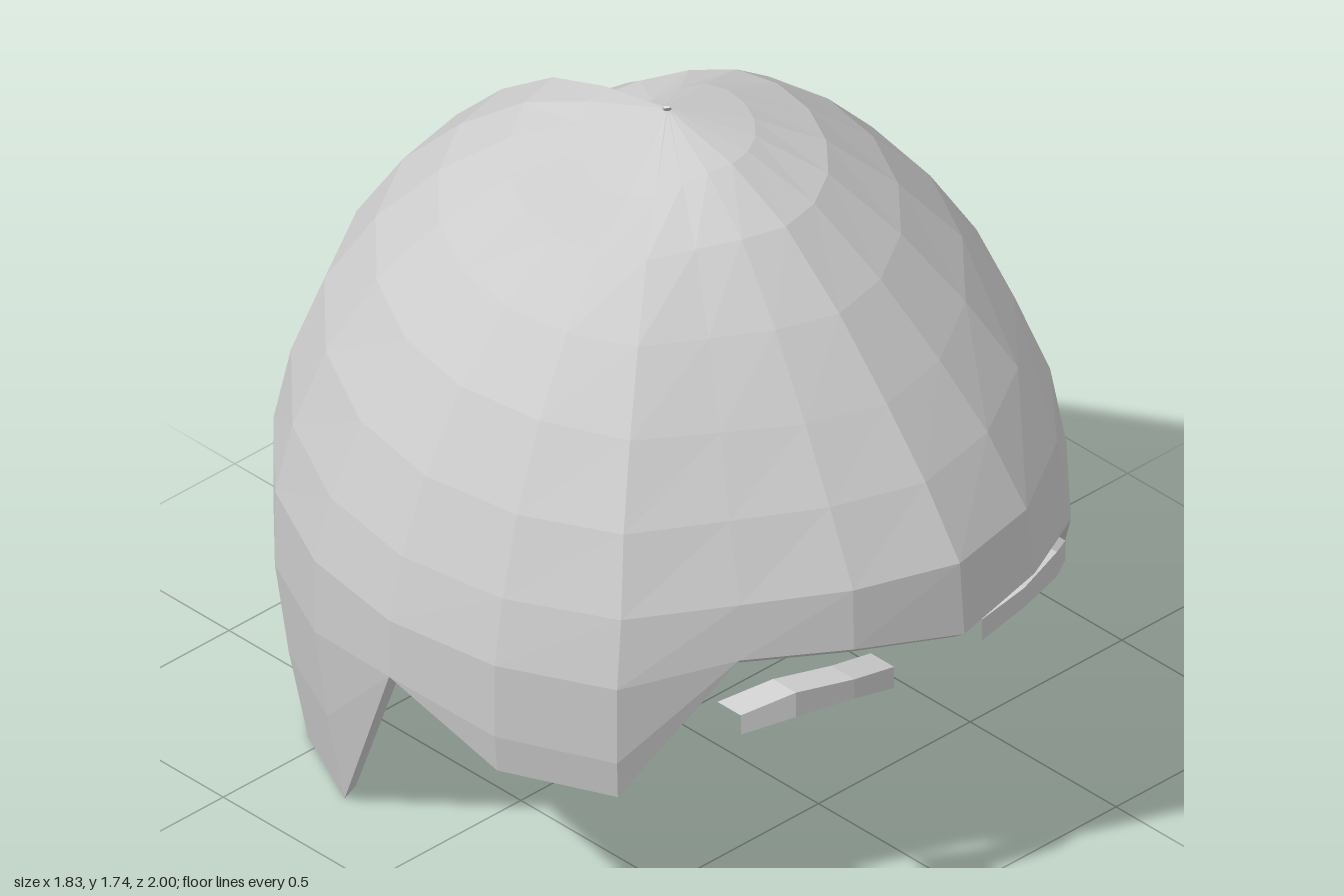
import * as THREE from 'three';

const SIDES = 20;
// Dome profile from hem to crown: radius factor and height per row
const R = [0.915, 0.965, 1, 1, 0.955, 0.87, 0.74, 0.58, 0.4, 0.22, 0.012];
const Y = [0, 0.25, 0.5, 0.73, 0.955, 1.18, 1.37, 1.52, 1.64, 1.7, 1.74];
// How far each row sinks on the combed side and over the forehead
const SIDE_DENT = [0, 0, 0, 0.03, 0.09, 0.12, 0.11, 0.1, 0.1, 0.1, 0];
const FRONT_DENT = [0, 0, 0, 0, 0.03, 0.08, 0.11, 0.08, 0.04, 0.01, 0];
// Left of the parting the back sinks towards the parting, by column
const BACK_DENT = { 6: 0.1, 7: 0.4, 8: 0.75, 9: 1.05, 10: 1.2 };
// Hem height per column, counted from the front centre
const HEM_LEFT = [0.73, 0.75, 0.71, 0.395, 0.395, 0.545];
const HEM_RIGHT = [0.73, 0.77, 0.78, 0.395, 0.395, 0.545];

const sample = (list, s) => {
  const i = Math.min(Math.floor(s), list.length - 2);
  return THREE.MathUtils.lerp(list[i], list[i + 1], s - i);
};

// Row position at which the profile reaches height y
function rowAt(y) {
  let i = 0;
  while (Y[i + 1] < y) i++;
  return i + (y - Y[i]) / (Y[i + 1] - Y[i]);
}

// Non-indexed flat faces from quads, dropping collapsed triangles
function flatMesh(name, quads, side = THREE.FrontSide) {
  const pos = [];
  const tri = (a, b, c) => {
    const area = b.clone().sub(a).cross(c.clone().sub(a)).length();
    if (area > 1e-7) for (const p of [a, b, c]) pos.push(p.x, p.y, p.z);
  };
  for (const [a, b, c, d] of quads) {
    tri(a, b, c);
    tri(a, c, d);
  }
  const geo = new THREE.BufferGeometry();
  geo.setAttribute('position', new THREE.Float32BufferAttribute(pos, 3));
  geo.computeVertexNormals();
  const mesh = new THREE.Mesh(geo, new THREE.MeshStandardMaterial({ color: 0xcccccc, flatShading: true, side }));
  mesh.name = name;
  return mesh;
}

// One strand column of the hair: points from hem to crown
function hairColumn(j) {
  const k = j - SIDES / 2;
  const theta = (k / SIDES) * Math.PI * 2;
  const sin = Math.sin(theta), cos = Math.cos(theta);
  const hem = (k < 0 ? HEM_RIGHT : HEM_LEFT)[Math.abs(k)] ?? 0;
  const start = rowAt(hem);
  const flatten = { '-1': 0.95, '-2': 0.93 }[k] ?? 1;
  const side = k < 0 ? sin * sin : BACK_DENT[k] ?? 0;
  const front = Math.max(0, cos) ** 2;
  return Y.map((_, i) => {
    const s = Math.max(i, start);
    const r = sample(R, s) * flatten;
    const dent = side * sample(SIDE_DENT, s) + front * sample(FRONT_DENT, s);
    const bulge = front * 0.03 * Math.max(0, 1 - Math.abs(s - 4));
    return new THREE.Vector3(
      sin * 0.915 * r,
      sample(Y, s) - dent,
      cos * (cos > 0 ? 1.02 : 0.975) * (r + bulge) - 0.02
    );
  });
}

// Thick hair shell whose right half overlaps the left along a parting at the back
function hair() {
  const outer = Array.from({ length: SIDES + 1 }, (_, j) => hairColumn(j));
  const inner = outer.map(col => col.map(p =>
    new THREE.Vector3(p.x * 0.965, 0.03 + p.y * 0.925, p.z * 0.965)));
  // Undercut the overlapping edge above the hem
  inner[0].forEach((p, i) => { p.x -= 0.14 * Math.max(0, (i - 3) / 7) * R[i]; });
  const quads = [];
  const rows = Y.length - 1;
  for (let j = 0; j < SIDES; j++) {
    const [o, o2, n, n2] = [outer[j], outer[j + 1], inner[j], inner[j + 1]];
    for (let i = 0; i < rows; i++) {
      quads.push([o[i], o2[i], o2[i + 1], o[i + 1]]);
      quads.push([n2[i], n[i], n[i + 1], n2[i + 1]]);
    }
    quads.push([o[0], n[0], n2[0], o2[0]]);
  }
  // Walls of the parting
  const [a, b, c, d] = [outer[0], inner[0], outer[SIDES], inner[SIDES]];
  for (let i = 0; i < rows; i++) {
    quads.push([b[i], a[i], a[i + 1], b[i + 1]]);
    quads.push([c[i], d[i], d[i + 1], c[i + 1]]);
  }
  return flatMesh('hair', quads);
}

// Eyebrow: curved front strip with a top plate running back from it
function eyebrow(name, mirror) {
  // x, bottom, top, front depth per section
  const sections = [[0.145, 0.6, 0.66, 0.91], [0.28, 0.635, 0.69, 0.915], [0.43, 0.63, 0.7, 0.87], [0.535, 0.59, 0.645, 0.79]];
  const rows = sections.map(([x, lo, hi, z]) =>
    [[lo, z], [hi, z], [hi, z - 0.08]].map(([y, d]) => new THREE.Vector3(x * mirror, y, d)));
  const quads = [];
  for (let i = 0; i < rows.length - 1; i++) {
    for (let k = 0; k < 2; k++) {
      const quad = [rows[i][k], rows[i + 1][k], rows[i + 1][k + 1], rows[i][k + 1]];
      quads.push(mirror > 0 ? quad : quad.reverse());
    }
  }
  return flatMesh(name, quads, THREE.DoubleSide);
}

export function createModel() {
  const model = new THREE.Group();
  model.name = 'hairAndEyebrows';
  model.add(hair(), eyebrow('leftEyebrow', 1), eyebrow('rightEyebrow', -1));
  return model;
}
